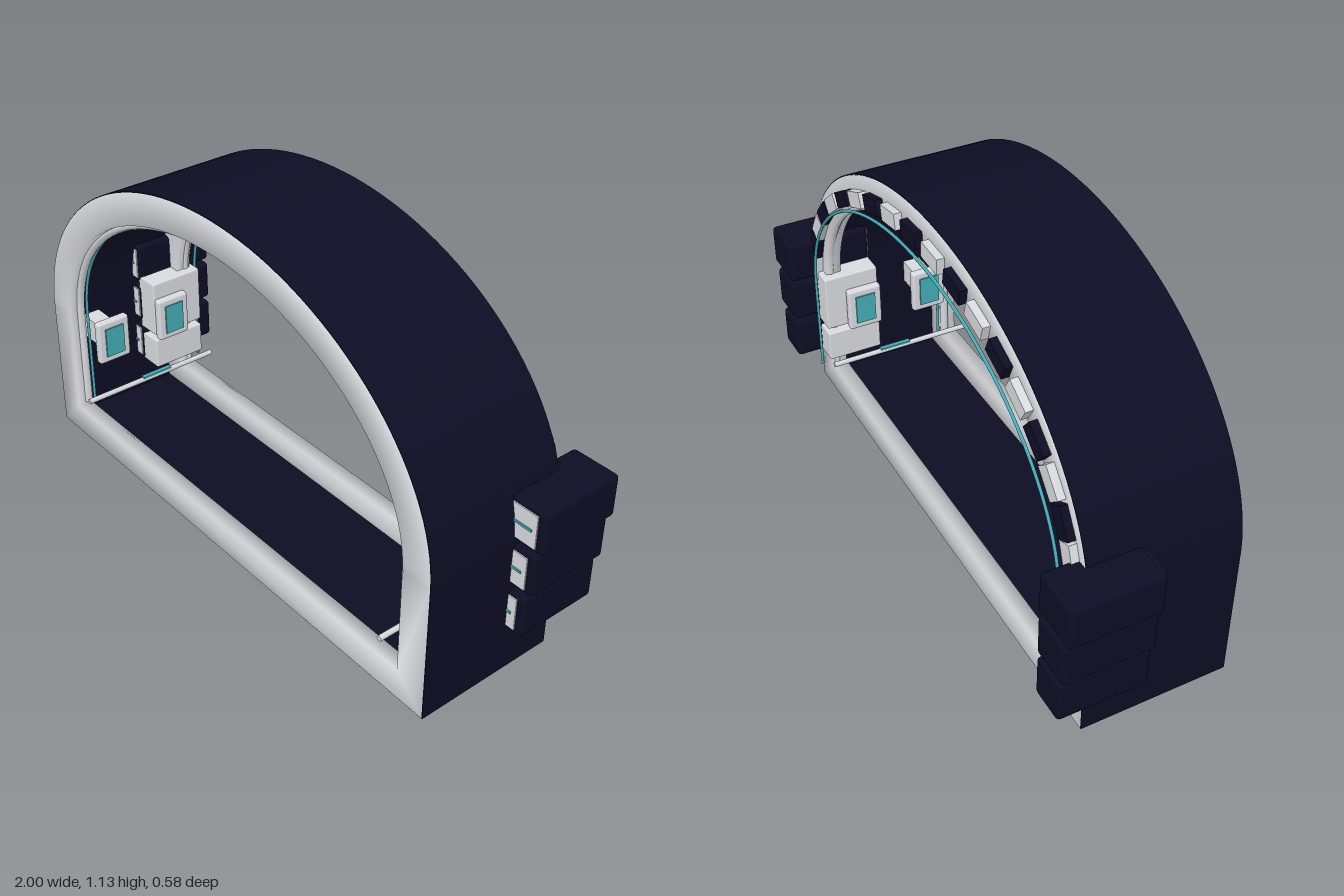
import * as THREE from 'three';
import { toCreasedNormals } from 'three/addons/utils/BufferGeometryUtils.js';
import { RoundedBoxGeometry } from 'three/addons/geometries/RoundedBoxGeometry.js';

const SPRING = 0.45; // height where the arch starts
const material = (name, color) => new THREE.MeshStandardMaterial({ name, color });

// Closed arch outline, inset by d, counter-clockwise seen from the front
function outline(d) {
  const pts = [[0.905 - d, d]];
  for (let i = 0; i <= 64; i++) {
    const a = (Math.PI * i) / 64;
    pts.push([(0.905 - d) * Math.cos(a), SPRING + (0.68 - d) * Math.sin(a)]);
  }
  pts.push([d - 0.905, d]);
  return pts;
}

// Ring of rectangular section between two insets and two depths
function ringGeometry(dOut, dIn, z0, z1) {
  const outer = outline(dOut), inner = outline(dIn), n = outer.length;
  const pos = [], index = [];
  outer.forEach((o, i) => {
    const q = inner[i];
    pos.push(...o, z1, ...o, z0, ...q, z0, ...q, z1);
    const next = (i + 1) % n;
    for (let j = 0; j < 4; j++) {
      const k = (j + 1) % 4;
      const a = i * 4 + j, b = i * 4 + k, c = next * 4 + k, d = next * 4 + j;
      index.push(a, b, c, a, c, d);
    }
  });
  const g = new THREE.BufferGeometry();
  g.setAttribute('position', new THREE.Float32BufferAttribute(pos, 3));
  g.setIndex(index);
  g.computeVertexNormals();
  return g;
}

// Open arch tube running up one side and down the other
function archTube(rx, ry, z, radius) {
  const pts = [new THREE.Vector3(rx, 0.11, z), new THREE.Vector3(rx, 0.28, z)];
  for (let i = 0; i <= 32; i++) {
    const a = (Math.PI * i) / 32;
    pts.push(new THREE.Vector3(rx * Math.cos(a), SPRING + ry * Math.sin(a), z));
  }
  pts.push(new THREE.Vector3(-rx, 0.28, z), new THREE.Vector3(-rx, 0.11, z));
  return new THREE.TubeGeometry(new THREE.CatmullRomCurve3(pts), 120, radius, 8);
}

export function createModel() {
  const model = new THREE.Group();
  model.name = 'archGate';
  const navy = material('navy', 0x0d0d24);
  const white = material('paleGrey', 0xd8dade);
  const teal = material('teal', 0x43adb6);

  const add = (name, geometry, mat, x = 0, y = 0, z = 0) => {
    const mesh = new THREE.Mesh(geometry, mat);
    mesh.name = name;
    mesh.position.set(x, y, z);
    model.add(mesh);
    return mesh;
  };
  // Box given by its extents, with optional rounded edges
  const box = (name, mat, x0, x1, y0, y1, z0, z1, r = 0) => {
    const size = [x1 - x0, y1 - y0, z1 - z0];
    const g = r ? new RoundedBoxGeometry(...size, 2, r) : new THREE.BoxGeometry(...size);
    return add(name, g, mat, (x0 + x1) / 2, (y0 + y1) / 2, (z0 + z1) / 2);
  };
  // The same box on both sides, x measured outward from the middle
  const pair = (name, mat, x0, x1, ...rest) => {
    box(name + 'Left', mat, x0, x1, ...rest);
    box(name + 'Right', mat, -x1, -x0, ...rest);
  };

  // Thin shell with a pale rim at each end
  add('shell', toCreasedNormals(ringGeometry(0, 0.02, -0.179, 0.293), 0.6), navy);
  add('frontRim', ringGeometry(0.003, 0.103, 0.245, 0.295), white);
  add('backRim', ringGeometry(0.003, 0.103, -0.181, -0.13), white);

  // Inner lips and light strips
  add('frontLip', archTube(0.805, 0.567, 0.255, 0.015), white);
  add('backLip', archTube(0.81, 0.572, -0.165, 0.013), white);
  add('frontLightStrip', archTube(0.804, 0.564, 0.23, 0.005), teal);
  add('backLightStrip', archTube(0.817, 0.566, -0.214, 0.005), teal);

  // Alternating blocks around the back rim
  for (let i = 0; i < 20; i++) {
    const a = (Math.PI * (i + 0.5)) / 20 - Math.PI / 2;
    const rx = 0.855, ry = 0.6;
    const block = add('archBlock', new THREE.BoxGeometry(0.096, 0.05, 0.03),
      i % 2 ? white : navy, rx * Math.sin(a), SPRING + ry * Math.cos(a), -0.19);
    block.rotation.z = Math.atan2(-ry * Math.sin(a), rx * Math.cos(a));
  }

  // Three stepped side pods with a face plate and a light line each
  [[0.15, 0.96], [0.305, 0.98], [0.457, 1.0]].forEach(([y, x]) => {
    pair('sidePod', navy, 0.84, x, y, y + 0.138, -0.29, -0.008, 0.014);
    pair('podPlate', white, 0.855, x - 0.025, y + 0.015, y + 0.123, -0.012, -0.004);
    pair('podLight', teal, 0.87, x - 0.04, y + 0.066, y + 0.073, -0.005, 0);
  });

  // Inner wall columns
  pair('upperPanel', white, 0.77, 0.86, 0.28, 0.48, -0.2, -0.01, 0.006);
  pair('lowerPanel', white, 0.77, 0.86, 0.15, 0.26, -0.2, -0.01, 0.006);

  // Control pads with teal screens
  [-0.07, 0.17].forEach((z) => {
    pair('pad', white, 0.742, 0.772, 0.27, 0.425, z - 0.06, z + 0.06, 0.01);
    pair('padScreen', teal, 0.737, 0.743, 0.295, 0.4, z - 0.035, z + 0.035);
  });
  pair('padMount', white, 0.77, 0.89, 0.31, 0.39, 0.14, 0.2);

  // Floor guide rods
  for (const s of [1, -1]) {
    const rod = add('guideRod', new THREE.CylinderGeometry(0.009, 0.009, 0.5, 8), white, s * 0.727, 0.16, 0.045);
    rod.rotation.x = Math.PI / 2;
    box('rodLight', teal, s * 0.727 - 0.008, s * 0.727 + 0.008, 0.165, 0.172, -0.03, 0.08);
  }
  return model;
}
